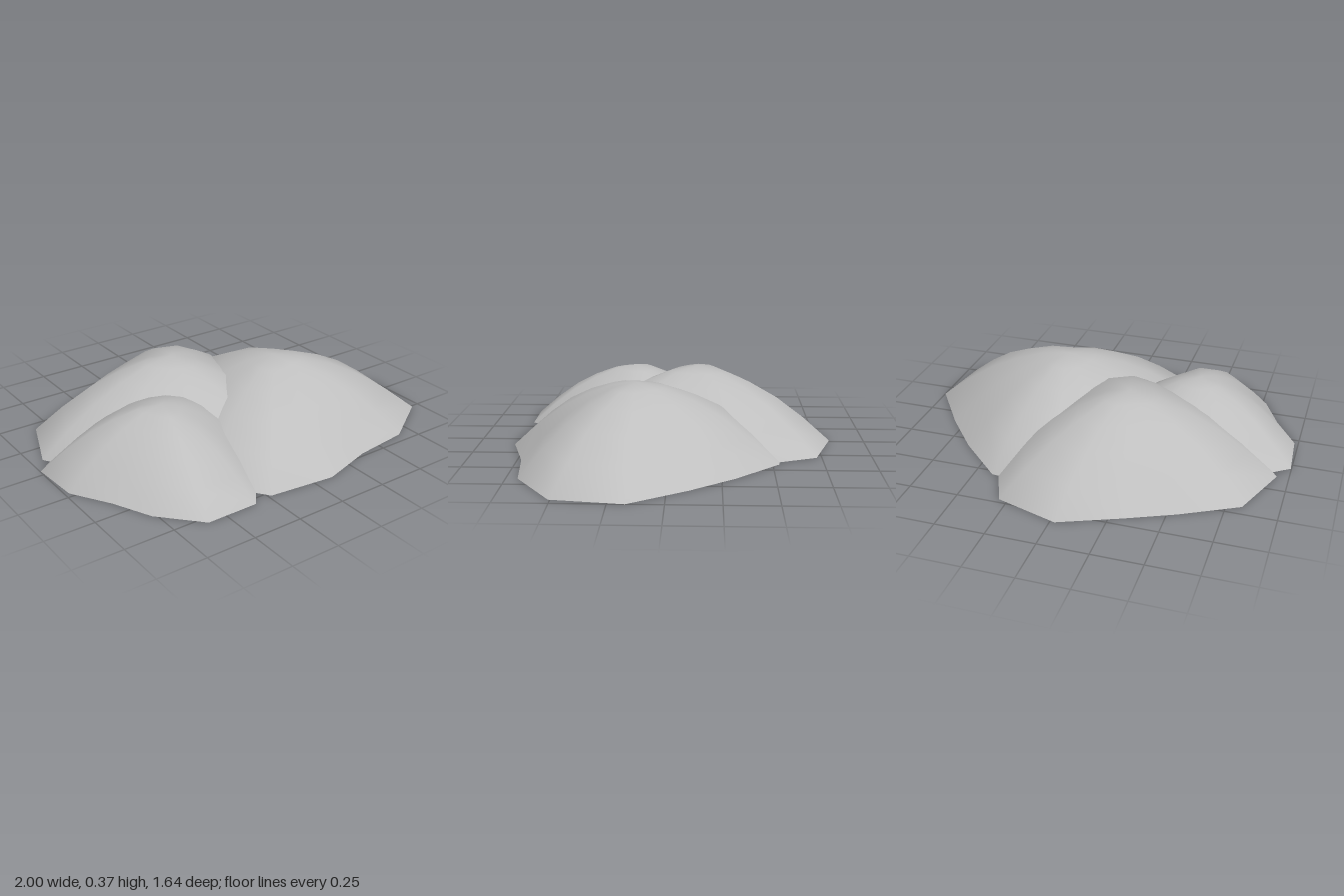
import * as THREE from 'three';

// Height fraction of each ring, from the crown to the rim
const PROFILE = [1, 0.935, 0.79, 0.59, 0.32, 0];

// Open dome: the rim radii are scaled inward ring by ring up to the crown
function moundGeometry(height, radii) {
  const sides = radii.length;
  const rings = PROFILE.length - 1;
  const positions = [0, height, 0];
  const index = [];
  for (let i = 1; i <= rings; i++) {
    for (let j = 0; j < sides; j++) {
      const angle = (j / sides) * Math.PI * 2;
      const r = (radii[j] * i) / rings;
      positions.push(Math.cos(angle) * r, height * PROFILE[i], Math.sin(angle) * r);
    }
  }
  const at = (i, j) => 1 + (i - 1) * sides + (j % sides);
  for (let j = 0; j < sides; j++) {
    index.push(0, at(1, j + 1), at(1, j));
    for (let i = 1; i < rings; i++) {
      index.push(at(i, j), at(i, j + 1), at(i + 1, j));
      index.push(at(i, j + 1), at(i + 1, j + 1), at(i + 1, j));
    }
  }
  const geometry = new THREE.BufferGeometry();
  geometry.setAttribute('position', new THREE.Float32BufferAttribute(positions, 3));
  geometry.setIndex(index);
  geometry.computeVertexNormals();
  return geometry;
}

export function createModel() {
  const group = new THREE.Group();
  group.name = 'moundCluster';
  const stone = new THREE.MeshStandardMaterial({ color: 0xbfbfbf, side: THREE.DoubleSide });
  stone.name = 'stone grey';

  // Rim radii run from +x towards +z in equal angular steps
  const mounds = [
    {
      name: 'frontLeftMound', x: 0.25, z: 0.17, height: 0.37,
      radii: [0.75, 0.78, 0.67, 0.575, 0.66, 0.775, 0.76, 0.65, 0.66, 0.69, 0.75, 0.72, 0.62, 0.625],
    },
    {
      name: 'backMound', x: -0.18, z: -0.13, height: 0.367,
      radii: [0.58, 0.61, 0.73, 0.745, 0.63, 0.6, 0.645, 0.76, 0.715, 0.59, 0.585, 0.71, 0.76, 0.67],
    },
    {
      name: 'frontRightMound', x: -0.465, z: 0.22, height: 0.312,
      radii: [0.525, 0.47, 0.47, 0.585, 0.585, 0.49, 0.44, 0.515, 0.59, 0.52, 0.52, 0.55, 0.6, 0.6],
    },
  ];
  for (const m of mounds) {
    const mesh = new THREE.Mesh(moundGeometry(m.height, m.radii), stone);
    mesh.name = m.name;
    mesh.position.set(m.x, 0, m.z);
    group.add(mesh);
  }
  return group;
}
